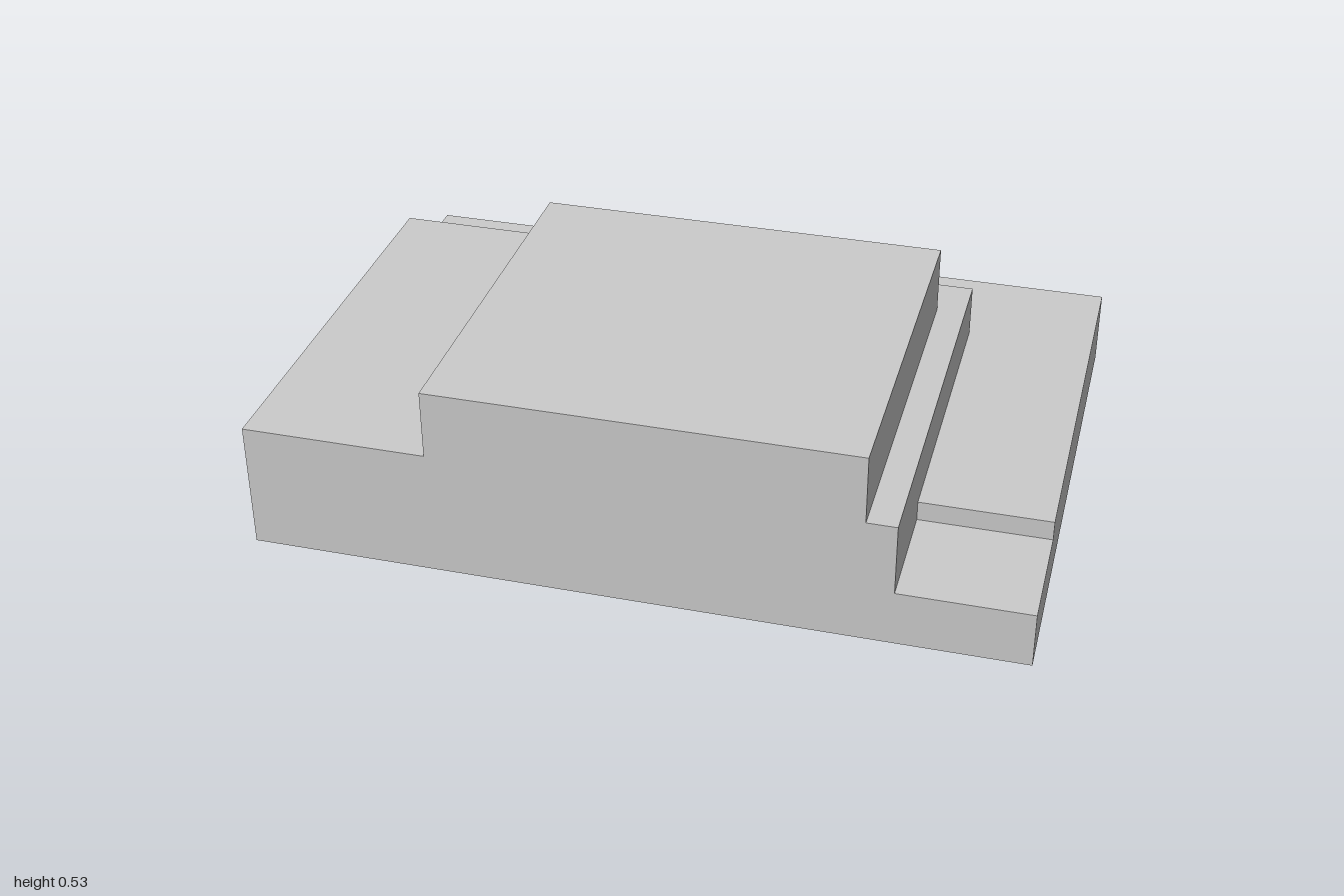
import * as THREE from 'three';

const FRONT = 0.725, BACK = -0.725;

export function createModel() {
  const group = new THREE.Group();
  const material = new THREE.MeshStandardMaterial({ color: 0xcccccc, flatShading: true });

  // Flat slab from a plan outline of [x, z] corners, between two heights
  function slab(name, outline, bottom, top) {
    const shape = new THREE.Shape(outline.map(([x, z]) => new THREE.Vector2(x, -z)));
    const geometry = new THREE.ExtrudeGeometry(shape, { depth: top - bottom, bevelEnabled: false });
    geometry.rotateX(-Math.PI / 2).translate(0, bottom, 0);
    const mesh = new THREE.Mesh(geometry, material);
    mesh.name = name;
    group.add(mesh);
  }

  const rect = (x0, x1, z0, z1) => [[x0, z1], [x1, z1], [x1, z0], [x0, z0]];

  // Ground slab
  slab('base', rect(-1, 1, BACK, FRONT), 0, 0.15);

  // Lower terrace, with the front left corner cut out as a step
  slab('lowerTerrace', [
    [-1, FRONT], [0.66, FRONT], [0.66, 0.415], [1, 0.415], [1, BACK], [-1, BACK],
  ], 0.15, 0.203);

  // Middle and upper terraces, flush with the front
  slab('middleTerrace', rect(-1, 0.66, -0.433, FRONT), 0.203, 0.343);
  slab('upperTerrace', rect(-0.518, 0.583, -0.298, FRONT), 0.343, 0.526);

  return group;
}
